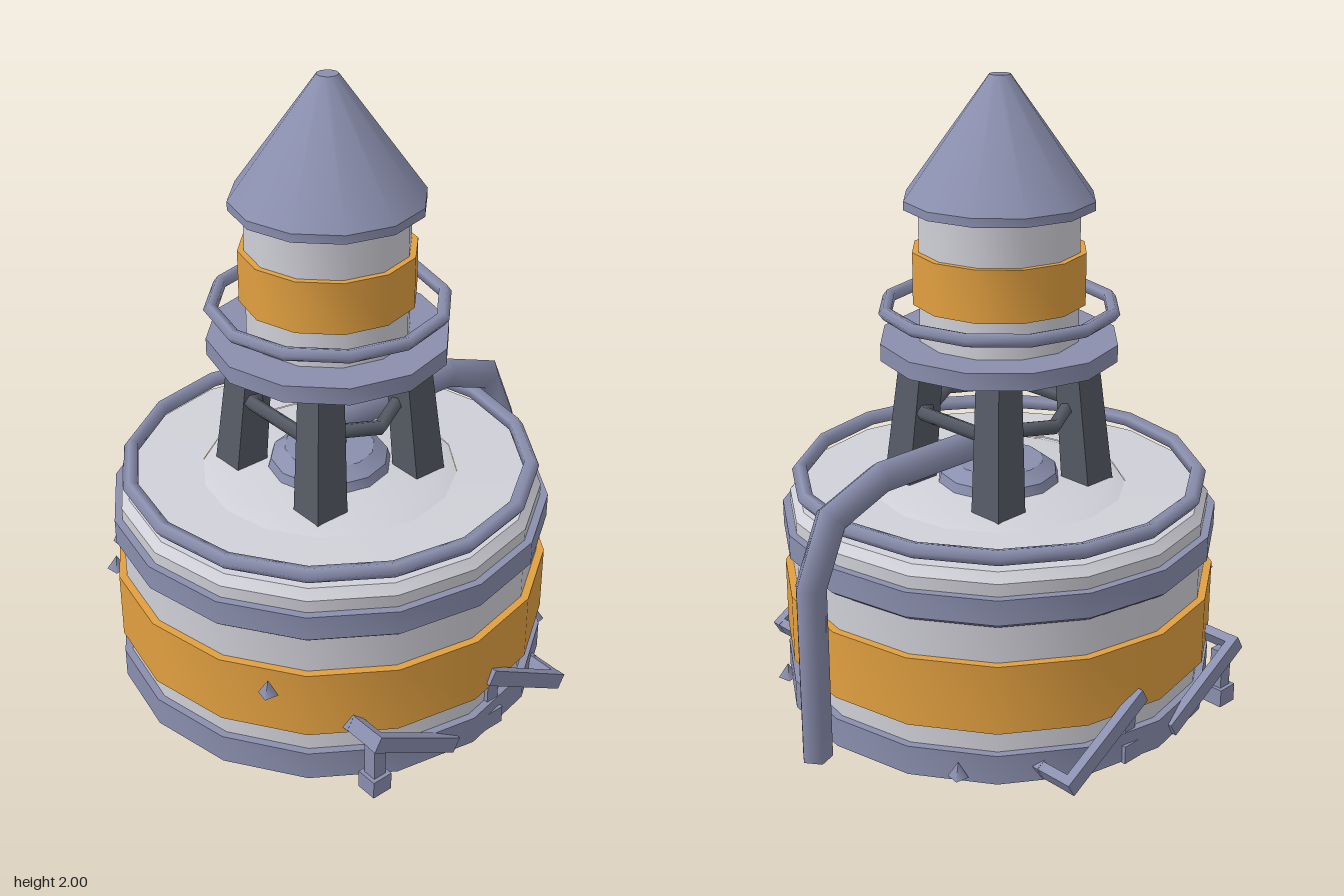
import * as THREE from 'three';
import { toCreasedNormals } from 'three/addons/utils/BufferGeometryUtils.js';

const AXIS_Z = 0.065;

const material = (name, color) => Object.assign(new THREE.MeshStandardMaterial({ color }), { name });

// Pentagonal pipe swept along a path of [y, z] points in the x = 0 plane, mitred at the bends
function pipeGeometry(path, radius) {
  const sides = 5, positions = [], index = [];
  const pts = path.map(([y, z]) => new THREE.Vector2(y, z));
  pts.forEach((p, i) => {
    const before = p.clone().sub(pts[Math.max(i - 1, 0)]).normalize();
    const after = pts[Math.min(i + 1, pts.length - 1)].clone().sub(p).normalize();
    const t = before.clone().add(after).normalize();
    const mitre = 1 / Math.max(t.dot(i ? before : after), 0.5);
    for (let k = 0; k < sides; k++) {
      const a = (k / sides) * Math.PI * 2;
      const out = Math.cos(a) * radius * mitre;
      positions.push(Math.sin(a) * radius, p.x - t.y * out, p.y + t.x * out);
      if (i < pts.length - 1) {
        const p0 = i * sides + k, p1 = i * sides + (k + 1) % sides;
        index.push(p0, p1, p1 + sides, p0, p1 + sides, p0 + sides);
      }
    }
  });
  const last = (pts.length - 1) * sides;
  for (let k = 1; k < sides - 1; k++) {
    index.push(0, k + 1, k, last, last + k, last + k + 1);
  }
  const geo = new THREE.BufferGeometry();
  geo.setAttribute('position', new THREE.Float32BufferAttribute(positions, 3));
  geo.setIndex(index);
  return toCreasedNormals(geo, 1.3);
}

export function createModel() {
  const model = new THREE.Group();
  model.name = 'storageTankWithTower';

  const light = material('pale grey', 0xd0d0d8);
  const metal = material('blue grey metal', 0x8a8fae);
  const orange = material('orange paint', 0xe2a040);
  const dark = material('dark steel', 0x565b66);
  const red = material('red', 0xb04038);

  const add = (parent, name, geo, mat, x = 0, y = 0, z = 0) => {
    const mesh = new THREE.Mesh(geo, mat);
    mesh.name = name;
    mesh.position.set(x, y, z);
    parent.add(mesh);
    return mesh;
  };

  // Round parts share one vertical axis
  const round = new THREE.Group();
  round.name = 'roundBody';
  round.position.z = AXIS_Z;
  model.add(round);

  const turned = (name, mat, sides, profile) => {
    const pts = profile.map(([r, y]) => new THREE.Vector2(r, y));
    return add(round, name, toCreasedNormals(new THREE.LatheGeometry(pts, sides), 0.6), mat);
  };
  const band = (name, mat, sides, r, y0, y1) =>
    turned(name, mat, sides, [[0, y0], [r, y0], [r, y1], [0, y1]]);
  const ring = (name, mat, sides, r, tube, y) => {
    const geo = new THREE.TorusGeometry(r, tube, 5, sides).rotateX(Math.PI / 2);
    return add(round, name, geo, mat, 0, y, 0);
  };

  // Drum
  band('drumBase', metal, 16, 0.705, 0.003, 0.1);
  turned('drumWall', light, 16, [[0.68, 0.09], [0.68, 0.655], [0.655, 0.683], [0.41, 0.69]]);
  turned('drumCrown', light, 16, [[0.41, 0.688], [0.36, 0.703], [0, 0.706]]);
  band('drumStripe', orange, 16, 0.705, 0.175, 0.4);
  turned('drumHoop', metal, 16,
    [[0.67, 0.522], [0.69, 0.522], [0.705, 0.535], [0.705, 0.615], [0.67, 0.615]]);
  ring('drumRail', metal, 16, 0.645, 0.026, 0.725);
  turned('pipeCollar', metal, 12, [[0.2, 0.7], [0.19, 0.735], [0.145, 0.768], [0, 0.77]]);

  // Tower
  band('towerPlatform', metal, 12, 0.38, 1.13, 1.185);
  ring('towerRail', metal, 12, 0.362, 0.022, 1.283);
  band('towerWall', light, 12, 0.255, 1.18, 1.61);
  band('towerStripe', orange, 12, 0.275, 1.305, 1.47);
  turned('towerRoof', metal, 12, [[0, 1.603], [0.3, 1.603], [0.3, 1.63], [0.033, 2], [0, 2]]);
  ring('legBrace', dark, 6, 0.246, 0.025, 0.945);

  // Four tapered legs leaning inwards
  for (const sx of [-1, 1]) {
    for (const sz of [-1, 1]) {
      const geo = new THREE.BoxGeometry(1, 0.45, 1);
      const p = geo.attributes.position;
      for (let i = 0; i < p.count; i++) {
        const top = p.getY(i) > 0;
        const size = top ? 0.098 : 0.118;
        const offset = top ? 0.171 : 0.203;
        p.setX(i, p.getX(i) * size + sx * offset);
        p.setZ(i, p.getZ(i) * size + sz * offset);
      }
      geo.computeVertexNormals();
      add(round, 'towerLeg', geo, dark, 0, 0.915, 0);
    }
  }

  // Pipe from the crown over the back to the ground
  const path = [[0.74, 0.06], [0.83, 0.06], [0.85, 0.025], [0.85, -0.44],
    [0.775, -0.635], [0.575, -0.721], [0, -0.721]];
  add(model, 'outletPipe', pipeGeometry(path, 0.05), metal);

  // Tilted open frames on posts, two on each side
  for (const side of [-1, 1]) {
    for (const z of [0.3, -0.17]) {
      const frame = new THREE.Group();
      frame.name = 'sideFrame';
      frame.position.set(side * 0.627, 0.125, z);
      frame.rotation.x = -Math.PI / 6;
      model.add(frame);
      for (const s of [-1, 1]) {
        add(frame, 'frameRail', new THREE.BoxGeometry(0.03, 0.052, 0.375), metal, s * 0.063, 0, 0);
        add(frame, 'frameEnd', new THREE.BoxGeometry(0.15, 0.05, 0.03), metal, 0, 0, s * 0.172);
      }
      add(model, 'framePost', new THREE.BoxGeometry(0.045, 0.19, 0.045), metal, side * 0.655, 0.095, z + 0.13);
      add(model, 'frameFoot', new THREE.BoxGeometry(0.07, 0.06, 0.07), metal, side * 0.655, 0.03, z + 0.13);
    }

    // Small pointed studs on the drum
    for (const [y, dz] of [[0.345, 0.575], [0.05, -0.575]]) {
      const stud = add(model, 'stud', new THREE.ConeGeometry(0.032, 0.05, 4), metal,
        side * 0.41, y, AXIS_Z + dz);
      stud.rotation.y = Math.atan2(side * 0.41, dz);
    }
  }

  // Plate under the base
  add(model, 'undersidePlate', new THREE.BoxGeometry(0.1, 0.004, 0.2), red, -0.17, 0.002, -0.1);

  return model;
}
